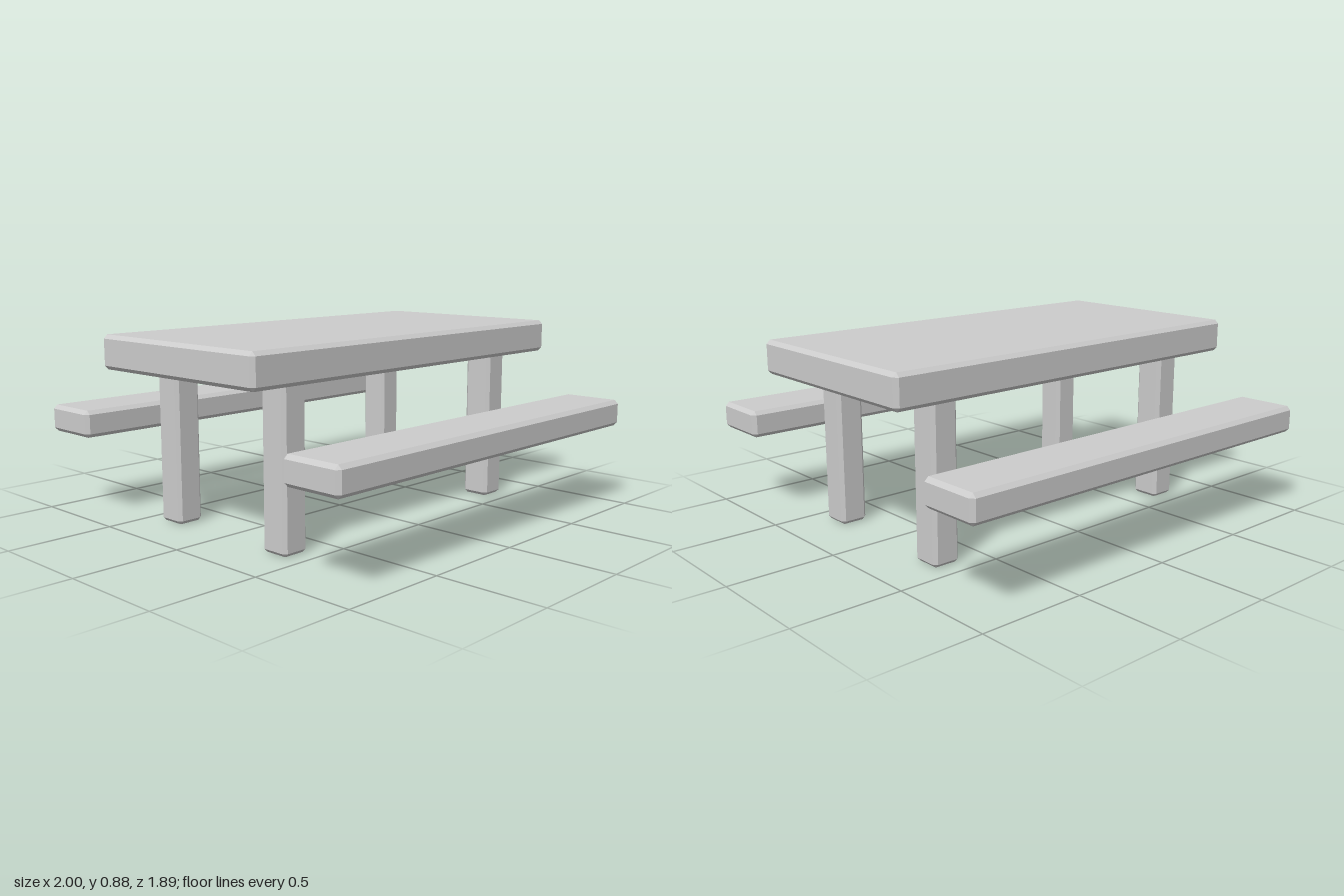
import * as THREE from 'three';
import { ConvexGeometry } from 'three/addons/geometries/ConvexGeometry.js';

// Box with every edge cut by a flat chamfer c
function chamferBox(w, h, d, c) {
  const points = [];
  for (const sx of [-1, 1]) for (const sy of [-1, 1]) for (const sz of [-1, 1]) {
    const x = w / 2, y = h / 2, z = d / 2;
    points.push(
      new THREE.Vector3(sx * x, sy * (y - c), sz * (z - c)),
      new THREE.Vector3(sx * (x - c), sy * y, sz * (z - c)),
      new THREE.Vector3(sx * (x - c), sy * (y - c), sz * z)
    );
  }
  return new ConvexGeometry(points);
}

export function createModel() {
  const model = new THREE.Group();
  model.name = 'picnicTable';
  const grey = new THREE.MeshStandardMaterial({ color: 0xcccccc });
  grey.name = 'lightGrey';

  const add = (name, geometry, x, y, z) => {
    const mesh = new THREE.Mesh(geometry, grey);
    mesh.name = name;
    mesh.position.set(x, y, z);
    model.add(mesh);
  };

  // Table top
  add('tableTop', chamferBox(2, 0.156, 1, 0.018), 0, 0.802, 0);

  // Benches and legs, front and back
  const bench = chamferBox(2, 0.127, 0.295, 0.018);
  const leg = chamferBox(0.133, 0.76, 0.14, 0.016);
  for (const [end, sz] of [['front', 1], ['back', -1]]) {
    add(end + 'Bench', bench, 0, 0.451, sz * 0.8);
    add(end + 'LeftLeg', leg, 0.7, 0.38, sz * 0.35);
    add(end + 'RightLeg', leg, -0.7, 0.38, sz * 0.35);
  }
  return model;
}
